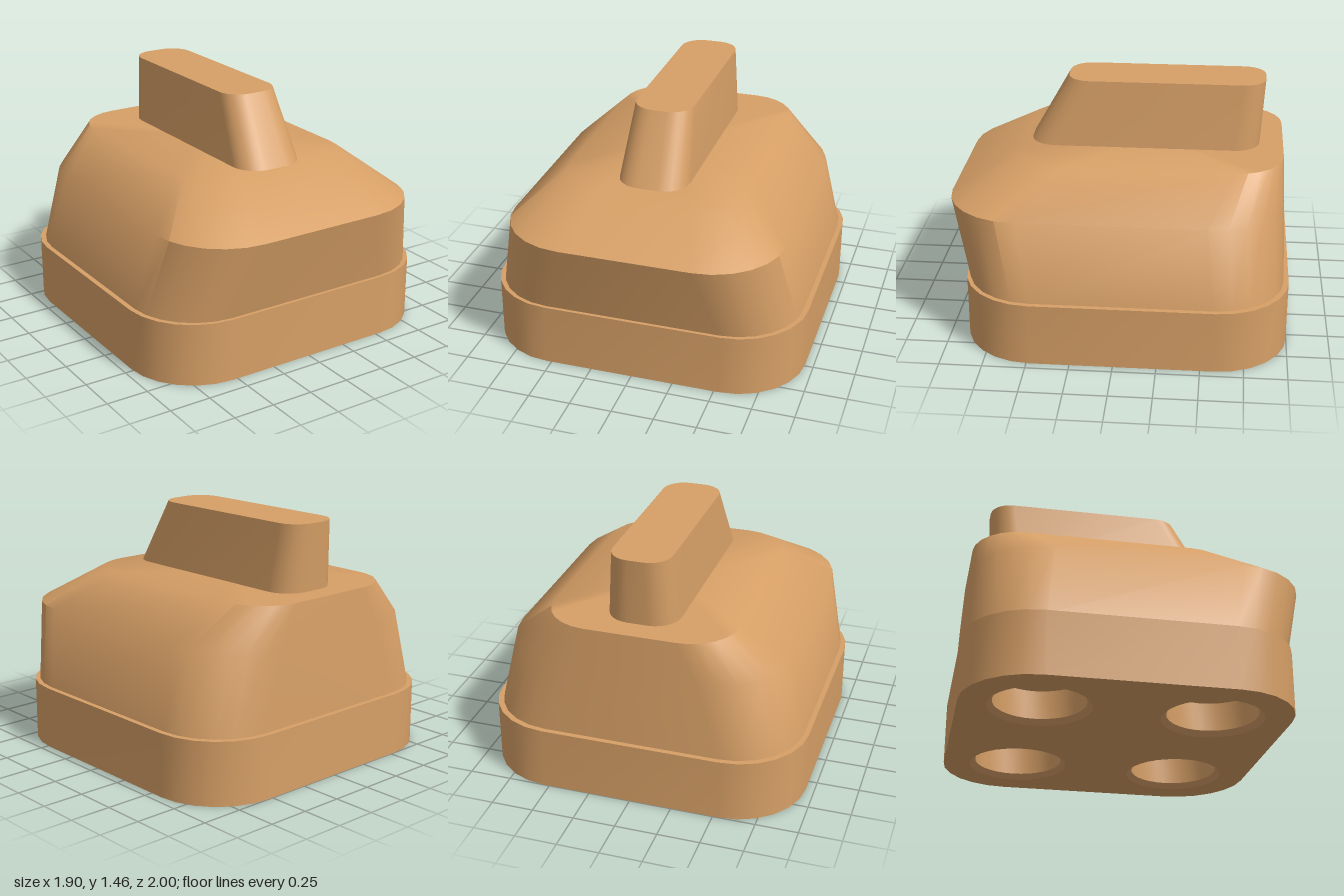
import * as THREE from 'three';
import { toCreasedNormals } from 'three/addons/utils/BufferGeometryUtils.js';

const CORNER_STEPS = 6;

// Rounded rectangle in the xz plane, as [x, z] pairs, counter-clockwise from above
function outline(halfX, back, front, radius) {
  const points = [];
  const cx = halfX - radius;
  const corners = [[cx, back + radius], [-cx, back + radius], [-cx, front - radius], [cx, front - radius]];
  corners.forEach(([x, z], k) => {
    for (let i = 0; i <= CORNER_STEPS; i++) {
      const a = (k + i / CORNER_STEPS) * Math.PI / 2;
      points.push([x + radius * Math.cos(a), z - radius * Math.sin(a)]);
    }
  });
  return points;
}

// Skin over stacked rounded rectangles, closed at the top and optionally at the bottom
function loft(sections, closeBottom, crease) {
  const positions = [];
  const index = [];
  const n = 4 * (CORNER_STEPS + 1);
  for (const [y, halfX, back, front, radius] of sections) {
    for (const [x, z] of outline(halfX, back, front, radius)) positions.push(x, y, z);
  }
  for (let s = 0; s < sections.length - 1; s++) {
    for (let i = 0; i < n; i++) {
      const a = s * n + i;
      const b = s * n + (i + 1) % n;
      index.push(a, b, b + n, a, b + n, a + n);
    }
  }
  const cap = (s, up) => {
    const [y, , back, front] = sections[s];
    const centre = positions.length / 3;
    positions.push(0, y, (back + front) / 2);
    for (let i = 0; i < n; i++) {
      const a = s * n + i;
      const b = s * n + (i + 1) % n;
      if (up) index.push(centre, a, b);
      else index.push(centre, b, a);
    }
  };
  cap(sections.length - 1, true);
  if (closeBottom) cap(0, false);
  const geometry = new THREE.BufferGeometry();
  geometry.setAttribute('position', new THREE.Float32BufferAttribute(positions, 3));
  geometry.setIndex(index);
  return toCreasedNormals(geometry, crease);
}

export function createModel() {
  const model = new THREE.Group();
  const tan = new THREE.MeshStandardMaterial({ color: 0xd69f66 });
  tan.name = 'tan';
  const add = (name, geometry, parent = model) => {
    const mesh = new THREE.Mesh(geometry, tan);
    mesh.name = name;
    parent.add(mesh);
    return mesh;
  };

  // Base: outer wall and top, with an underside pierced by four sockets
  const base = new THREE.Group();
  base.name = 'base';
  model.add(base);
  add('baseWall', loft([[0, 0.95, -1, 0.9, 0.42], [0.375, 0.95, -1, 0.9, 0.42]], false, 0.8), base);

  const underside = new THREE.Shape(outline(0.95, -1, 0.9, 0.42).map(([x, z]) => new THREE.Vector2(x, z)));
  const socketProfile = [[0, 0.2], [0.265, 0.2], [0.265, 0.03], [0.295, 0]].map(([r, y]) => new THREE.Vector2(r, y));
  const socketGeometry = toCreasedNormals(new THREE.LatheGeometry(socketProfile, 32), 0.6);
  for (const sx of [-1, 1]) {
    for (const sz of [-1, 1]) {
      const x = sx * 0.495;
      const z = -0.05 + sz * 0.495;
      const hole = [];
      for (let i = 0; i < 32; i++) {
        const a = i / 32 * Math.PI * 2;
        hole.push(new THREE.Vector2(x + 0.295 * Math.cos(a), z + 0.295 * Math.sin(a)));
      }
      underside.holes.push(new THREE.Path(hole));
      add('socket', socketGeometry, base).position.set(x, 0, z);
    }
  }
  add('underside', new THREE.ShapeGeometry(underside).rotateX(Math.PI / 2), base);

  // Body: overhangs the base at the front, then slopes in to a flat deck
  add('body', loft([
    [0.375, 0.92, -0.97, 0.88, 0.4],
    [0.83, 0.82, -0.955, 1, 0.43],
    [1.06, 0.55, -0.945, 0.61, 0.28],
  ], true, 0.8));

  // Upright fin with a raked front
  add('fin', loft([
    [1.06, 0.21, -0.805, 0.56, 0.15],
    [1.455, 0.175, -0.83, 0.335, 0.13],
  ], true, 0.8));

  return model;
}
